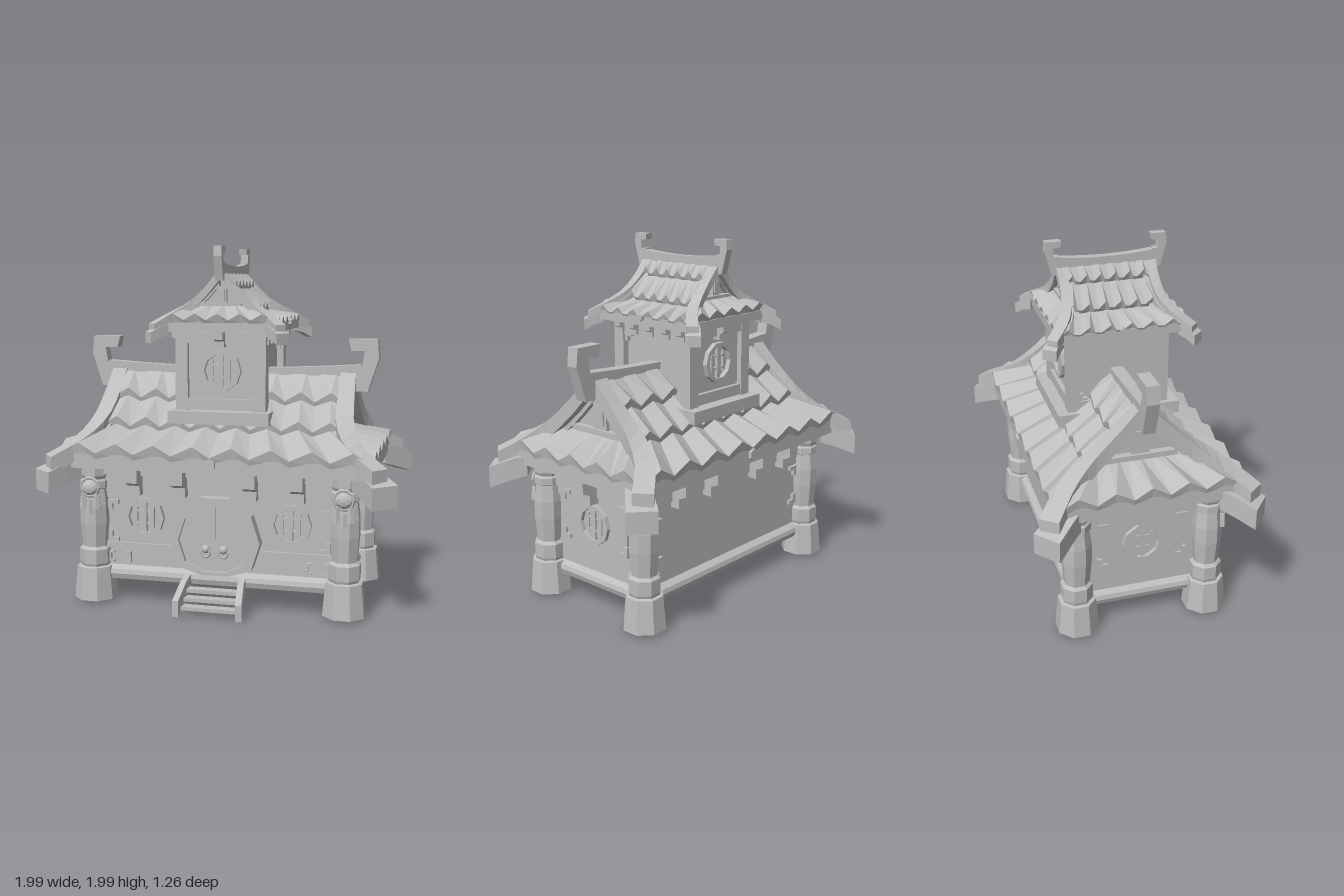
import * as THREE from 'three';

const grey = new THREE.MeshStandardMaterial({ color: 0xbdbdbd, side: THREE.DoubleSide });
grey.name = 'stone grey';
const V = (x, y, z) => new THREE.Vector3(x, y, z);
const shape = pts => new THREE.Shape(pts.map(p => new THREE.Vector2(p[0], p[1])));
const extrude = (s, depth) => new THREE.ExtrudeGeometry(s, { depth, bevelEnabled: false });

// Flat-shaded named mesh
function add(parent, name, geo, x = 0, y = 0, z = 0) {
  const g = geo.index ? geo.toNonIndexed() : geo;
  g.computeVertexNormals();
  const m = new THREE.Mesh(g, grey);
  m.name = name;
  m.position.set(x, y, z);
  parent.add(m);
}
function group(parent, name, x = 0, y = 0, z = 0, ry = 0) {
  const g = new THREE.Group();
  g.name = name;
  g.position.set(x, y, z);
  g.rotation.y = ry;
  parent.add(g);
  return g;
}
// Box given by its minimum and maximum corners
function box(parent, name, x0, x1, y0, y1, z0, z1) {
  add(parent, name, new THREE.BoxGeometry(x1 - x0, y1 - y0, z1 - z0), (x0 + x1) / 2, (y0 + y1) / 2, (z0 + z1) / 2);
}
function fromQuads(quads) {
  const pos = [];
  for (const [a, b, c, d] of quads) for (const p of [a, b, c, a, c, d]) pos.push(p.x, p.y, p.z);
  const g = new THREE.BufferGeometry();
  g.setAttribute('position', new THREE.Float32BufferAttribute(pos, 3));
  return g;
}
// Four-cornered rings joined in order, capped at both ends
function loft(rings) {
  const q = [[...rings[0]].reverse(), rings[rings.length - 1]];
  for (let i = 0; i + 1 < rings.length; i++) {
    for (let k = 0; k < 4; k++) {
      const n = (k + 1) % 4;
      q.push([rings[i][k], rings[i][n], rings[i + 1][n], rings[i + 1][k]]);
    }
  }
  return fromQuads(q);
}
const rect = (y, x, z) => [V(-x, y, z), V(x, y, z), V(x, y, -z), V(-x, y, -z)];

// Bar of upright rectangular section along a path, its width running from w to wEnd
function bar(points, w, down, up, wEnd = w) {
  const last = points.length - 1;
  return loft(points.map((p, i) => {
    const t = points[Math.min(i + 1, last)].clone().sub(points[Math.max(i - 1, 0)]);
    const s = V(t.z, 0, -t.x).normalize().multiplyScalar((w + (wEnd - w) * i / last) / 2);
    return [[1, -down], [1, up], [-1, up], [-1, -down]].map(([k, h]) => V(p.x + s.x * k, p.y + h, p.z + s.z * k));
  }));
}

// Folded tile rows; profile = [distance out, height, half width]
function tiles(profile, waves, amp, pattern, taper) {
  const cols = [];
  for (let i = 0; i < waves; i++) for (const [f, h] of pattern) cols.push([(i + f) / waves * 2 - 1, h]);
  cols.push([1, 0]);
  const at = ([d, y, w], [u, h], lift, k) => V(u * w, y + lift + h * amp * k, d);
  const q = [];
  for (let r = 0; r + 1 < profile.length; r++) {
    const A = profile[r], B = profile[r + 1];
    const under = [B[0] - 0.015, B[1], B[2]];
    const k = r ? taper : 0;
    for (let c = 0; c + 1 < cols.length; c++) {
      const [a, b] = [cols[c], cols[c + 1]];
      q.push([at(A, a, 0, k), at(B, a, amp * 0.4, 1), at(B, b, amp * 0.4, 1), at(A, b, 0, k)]);
      q.push([at(B, a, amp * 0.4, 1), at(under, a, -amp * 0.5, 0.5), at(under, b, -amp * 0.5, 0.5), at(B, b, amp * 0.4, 1)]);
    }
  }
  return fromQuads(q);
}

// Hip-and-gable roof with its ridge along local x
function roof(parent, name, o, ry = 0) {
  const g = group(parent, name, 0, 0, 0, ry);
  for (const s of [0, 1]) {
    const half = group(g, 'roofHalf', 0, 0, 0, s * Math.PI);
    add(half, 'slopeTiles', tiles(o.slope, o.waves, o.amp, o.pattern, o.taper));
    add(half, 'eaveStud', new THREE.CylinderGeometry(o.stud, o.stud, 0.03, 6).rotateX(Math.PI / 2), 0, o.studY, o.eaveZ + 0.005);
    const end = group(half, 'hipEnd', 0, 0, 0, Math.PI / 2);
    add(end, 'hipTiles', tiles(o.hip, o.hipWaves, o.amp, [[0, 0], [0.5, 1]], 0.6));

    // Gable wall, strut and sill
    const pts = o.slope.slice(0, 3);
    const gx = o.gableX;
    add(end, 'gableWall', extrude(shape([...pts, ...pts.map(p => [-p[0], p[1]]).reverse()]), 0.03), 0, 0, gx - 0.03);
    const [h, y0, y1] = o.strut;
    box(end, 'gableSill', -h * 4, h * 4, y0 - h * 0.6, y0, gx - 0.01, gx + 0.04);
    box(end, 'gableStrut', -h, h, y0, y1, gx - 0.01, gx + 0.025);
    box(end, 'gableStrutFace', -h * 0.65, h * 0.65, y0 + h * 0.5, y1 - h * 0.5, gx, gx + 0.033);

    // Curved verges with heavy corner tips
    for (const m of [1, -1]) {
      const path = new THREE.CatmullRomCurve3(o.verge.map(p => V(p[0], p[1], p[2] * m))).getPoints(9);
      add(half, 'vergeBar', bar(path, o.vw, o.vw * 0.75, o.vw * 0.4, o.vw * 1.3));
      const inner = path.slice(0, 7).map(p => V(p.x - o.vw * 0.45, p.y - o.vw * 0.7, p.z));
      add(half, 'vergeBoard', bar(inner, o.vw * 0.7, o.vw * 0.4, o.vw * 0.6));
      add(half, 'cornerTip', bar(o.tip.map(p => V(p[0], p[1], p[2] * m)), o.tw * 0.8, o.tw * 0.37, o.tw * 0.37, o.tw));
    }
    // Ridge-end hook
    add(half, 'ridgeHook', extrude(shape(o.hook), o.rw), 0, 0, -o.rw / 2);
  }
  const ridge = [];
  for (let i = -4; i <= 4; i++) ridge.push(V(i / 4 * o.ridge, o.ridgeY + o.sag * (i / 4) ** 2, 0));
  add(g, 'ridge', bar(ridge, o.rw, o.rw * 1.4, 0));
  box(g, 'eaveBoard', -o.eaveX, o.eaveX, o.eaveY0, o.eaveY1, -o.eaveZ, o.eaveZ);
}

// Ten-sided outline, optionally cut flat at the bottom
const tenGon = (r, cut = -9) => Array.from({ length: 10 }, (_, i) =>
  new THREE.Vector2(r * Math.cos(i * Math.PI / 5), Math.max(cut, r * Math.sin(i * Math.PI / 5))));
function tenRing(r, inner, depth, cut) {
  const s = new THREE.Shape(tenGon(r, cut));
  s.holes.push(new THREE.Path(tenGon(inner, cut && cut + 0.02)));
  return extrude(s, depth);
}
function lattice(parent, x, y, z, r) {
  const w = group(parent, 'latticeWindow', x, y, z);
  add(w, 'windowFrame', tenRing(r, r * 0.8, 0.035));
  box(w, 'latticeMiddle', -0.012, 0.012, -r * 0.8, r * 0.8, 0, 0.025);
  for (const s of [1, -1]) {
    box(w, 'latticeUpright', s * r * 0.42 - 0.006, s * r * 0.42 + 0.006, -r * 0.5, r * 0.5, 0, 0.02);
    for (const t of [1, -1]) box(w, 'latticeRail', Math.min(0, s * r * 0.45), Math.max(0, s * r * 0.45), t * r * 0.3 - 0.006, t * r * 0.3 + 0.006, 0, 0.02);
  }
}
// Corner brackets of a wall panel, lying in the xy plane
function corners(parent, x0, x1, y0, y1, z, a) {
  for (const [x, s] of [[x0, 1], [x1, -1]]) for (const [y, t] of [[y0, 1], [y1, -1]]) {
    const c = group(parent, 'cornerBracket', x, y, z);
    add(c, 'bracketRail', new THREE.BoxGeometry(a, a * 0.4, 0.03), s * a / 2, t * a * 0.2, 0);
    add(c, 'bracketPost', new THREE.BoxGeometry(a * 0.4, a, 0.03), s * a * 0.2, t * a / 2, 0);
  }
}
// Stepped block with a slanting underside
function eaveBlock(parent, x, y, z, w, h) {
  const side = shape([[-0.03, 0], [0.5 * h, 0], [0.5 * h, -0.52 * h], [0.2 * h, -0.65 * h], [0.2 * h, -h], [-0.03, -h]]);
  add(parent, 'eaveBlock', extrude(side, w).rotateY(-Math.PI / 2).translate(w / 2, 0, 0), x, y, z);
}

export function createModel() {
  const model = new THREE.Group();
  model.name = 'gatehouse';

  // Hall body
  add(model, 'baseSkirt', loft([rect(0.13, 0.715, 0.39), rect(0.16, 0.725, 0.4), rect(0.185, 0.718, 0.393), rect(0.205, 0.69, 0.365)]));
  box(model, 'hallWalls', -0.69, 0.69, 0.18, 0.8, -0.355, 0.355);
  box(model, 'wallBeam', -0.72, 0.72, 0.65, 0.73, -0.375, 0.375);
  box(model, 'beamFoot', -0.7, 0.7, 0.59, 0.65, -0.365, 0.365);
  box(model, 'eaveBeam', -0.75, 0.75, 0.73, 0.79, -0.405, 0.405);
  for (const s of [0, 1]) {
    const face = group(model, s ? 'backWall' : 'frontWall', 0, 0, 0, s * Math.PI);
    corners(face, -0.63, 0.63, 0.34, 0.58, 0.36, 0.06);
    for (const x of [-0.46, -0.2, 0.2, 0.46]) eaveBlock(face, x, 0.78, 0.39, 0.07, 0.16);
    const side = group(model, 'sideWall', 0, 0, 0, Math.PI / 2 + s * Math.PI);
    box(side, 'sidePanel', -0.24, 0.24, 0.36, 0.64, 0.68, 0.703);
    corners(side, -0.25, 0.25, 0.36, 0.64, 0.7, 0.06);
    lattice(side, 0, 0.49, 0.69, 0.115);
    eaveBlock(side, 0, 0.78, 0.74, 0.07, 0.16);
  }
  for (const s of [1, -1]) {
    lattice(model, s * 0.415, 0.49, 0.35, 0.115);
    const low = group(model, 'lowerPanel', s * 0.45, 0, 0);
    box(low, 'panelRail', -0.2, 0.2, 0.315, 0.335, 0.35, 0.372);
    corners(low, s > 0 ? 0.05 : -0.18, s > 0 ? 0.18 : -0.05, 0.22, 0.285, 0.36, 0.032);
  }

  // Door with two leaves and ring handles
  const door = group(model, 'door', 0, 0.385, 0.35);
  add(door, 'doorFrame', tenRing(0.255, 0.205, 0.075, -0.19));
  add(door, 'doorLeaves', extrude(new THREE.Shape(tenGon(0.21, -0.18)), 0.05));
  box(door, 'doorSeam', -0.005, 0.005, -0.18, 0.195, 0.05, 0.056);
  for (const s of [1, -1]) {
    add(door, 'handleKnob', new THREE.IcosahedronGeometry(0.024, 1), s * 0.05, -0.045, 0.06);
    add(door, 'handleRing', new THREE.TorusGeometry(0.024, 0.007, 5, 10), s * 0.05, -0.065, 0.068);
  }

  // Steps
  const steps = group(model, 'steps');
  for (const s of [1, -1]) add(steps, 'stepRail', bar([V(s * 0.155, 0.145, 0.4), V(s * 0.16, 0.125, 0.47), V(s * 0.175, 0.045, 0.588)], 0.035, 0.045, 0.045));
  for (let i = 0; i < 3; i++) box(steps, 'tread', -0.16, 0.16, 0.105 - i * 0.038, 0.125 - i * 0.038, 0.42 + i * 0.04, 0.475 + i * 0.04);

  // Corner pillars; the front pair carries hanging ornaments
  const pillarProfile = [[0, 0.015], [0.122, 0.015], [0.105, 0.2], [0.085, 0.205], [0.09, 0.22], [0.09, 0.3], [0.072, 0.315],
    [0.084, 0.45], [0.084, 0.55], [0.072, 0.645], [0.08, 0.65], [0.08, 0.69], [0.07, 0.7], [0.078, 0.72], [0.078, 0.8]].map(p => new THREE.Vector2(...p));
  for (const x of [1, -1]) for (const z of [1, -1]) {
    const p = group(model, 'cornerPillar', x * 0.71, 0, z * 0.37);
    add(p, 'pillarShaft', new THREE.LatheGeometry(pillarProfile, 8, Math.PI / 8));
    if (z < 0) continue;
    add(p, 'ornamentHead', new THREE.IcosahedronGeometry(0.05, 1).scale(1, 0.9, 0.6), 0, 0.655, 0.07);
    add(p, 'ornamentRing', new THREE.TorusGeometry(0.052, 0.01, 5, 10), 0, 0.66, 0.072);
    for (const s of [-1, 0, 1]) add(p, 'ornamentTassel', new THREE.CylinderGeometry(0.016, 0.024, 0.08, 5), s * 0.038, 0.58 - (s ? 0 : 0.03), 0.072);
  }

  // Main roof
  roof(model, 'mainRoof', {
    slope: [[0.02, 1.29, 0.68], [0.16, 1.115, 0.67], [0.31, 0.97, 0.69], [0.525, 0.845, 0.86]], waves: 8, amp: 0.055, pattern: [[0, 0], [0.55, 1]], taper: 0.6,
    hip: [[0.62, 0.985, 0.28], [0.87, 0.845, 0.49]], hipWaves: 5, gableX: 0.63, strut: [0.05, 1.01, 1.17],
    verge: [[0.67, 1.275, 0.02], [0.675, 1.14, 0.15], [0.692, 1.01, 0.3], [0.76, 0.91, 0.43], [0.905, 0.815, 0.555]], vw: 0.085,
    tip: [[0.8, 0.775, 0.42], [0.86, 0.75, 0.49], [0.935, 0.71, 0.577]], tw: 0.16,
    hook: [[0.71, 1.19], [0.78, 1.19], [0.84, 1.38], [0.83, 1.48], [0.67, 1.48], [0.685, 1.415], [0.76, 1.415], [0.745, 1.33], [0.7, 1.33]],
    rw: 0.07, ridge: 0.74, ridgeY: 1.31, sag: 0.028, eaveX: 0.86, eaveZ: 0.515, eaveY0: 0.78, eaveY1: 0.86, stud: 0.035, studY: 0.83,
  });

  // Tower
  const tower = group(model, 'tower');
  box(tower, 'towerLedge', -0.285, 0.285, 1.02, 1.09, -0.345, 0.345);
  box(tower, 'towerCore', -0.215, 0.215, 0.92, 1.56, -0.255, 0.255);
  for (const x of [1, -1]) for (const z of [1, -1]) add(tower, 'towerPost', new THREE.BoxGeometry(0.07, 0.5, 0.07), x * 0.22, 1.31, z * 0.25);
  for (const s of [0, 1]) {
    const front = group(tower, 'towerFace', 0, 0, 0, s * Math.PI);
    for (const y of [1.125, 1.49]) box(front, 'faceRail', -0.2, 0.2, y - 0.03, y + 0.03, 0.25, 0.28);
    lattice(front, 0, 1.31, 0.248, 0.115);
    eaveBlock(front, 0, 1.53, 0.28, 0.05, 0.09);
    const side = group(tower, 'towerSide', 0, 0, 0, Math.PI / 2 + s * Math.PI);
    for (const y of [1.115, 1.475]) box(side, 'sideRail', -0.22, 0.22, y - 0.03, y + 0.03, 0.21, 0.25);
    corners(side, -0.215, 0.215, 1.14, 1.45, 0.225, 0.045);
    for (const x of [-0.23, -0.12, 0, 0.12, 0.23]) eaveBlock(side, x, 1.53, 0.25, 0.04, 0.075);
  }
  roof(tower, 'towerRoof', {
    slope: [[0.015, 1.845, 0.25], [0.075, 1.755, 0.24], [0.175, 1.63, 0.265], [0.33, 1.56, 0.345]], waves: 6, amp: 0.035,
    pattern: [[0, 0], [0.45, 1], [0.7, 0.1]], taper: 0.1,
    hip: [[0.2, 1.68, 0.13], [0.36, 1.575, 0.31]], hipWaves: 5, gableX: 0.225, strut: [0.028, 1.68, 1.77],
    verge: [[0.255, 1.83, 0.012], [0.25, 1.75, 0.085], [0.265, 1.665, 0.18], [0.315, 1.605, 0.275], [0.39, 1.55, 0.355]], vw: 0.05,
    tip: [[0.34, 1.535, 0.29], [0.37, 1.525, 0.325], [0.408, 1.495, 0.37]], tw: 0.08,
    hook: [[0.265, 1.8], [0.305, 1.8], [0.34, 1.93], [0.335, 1.985], [0.25, 1.985], [0.255, 1.95], [0.295, 1.95], [0.29, 1.9], [0.26, 1.9]],
    rw: 0.045, ridge: 0.29, ridgeY: 1.88, sag: 0.018, eaveX: 0.355, eaveZ: 0.325, eaveY0: 1.525, eaveY1: 1.575, stud: 0.02, studY: 1.57,
  }, Math.PI / 2);
  return model;
}
